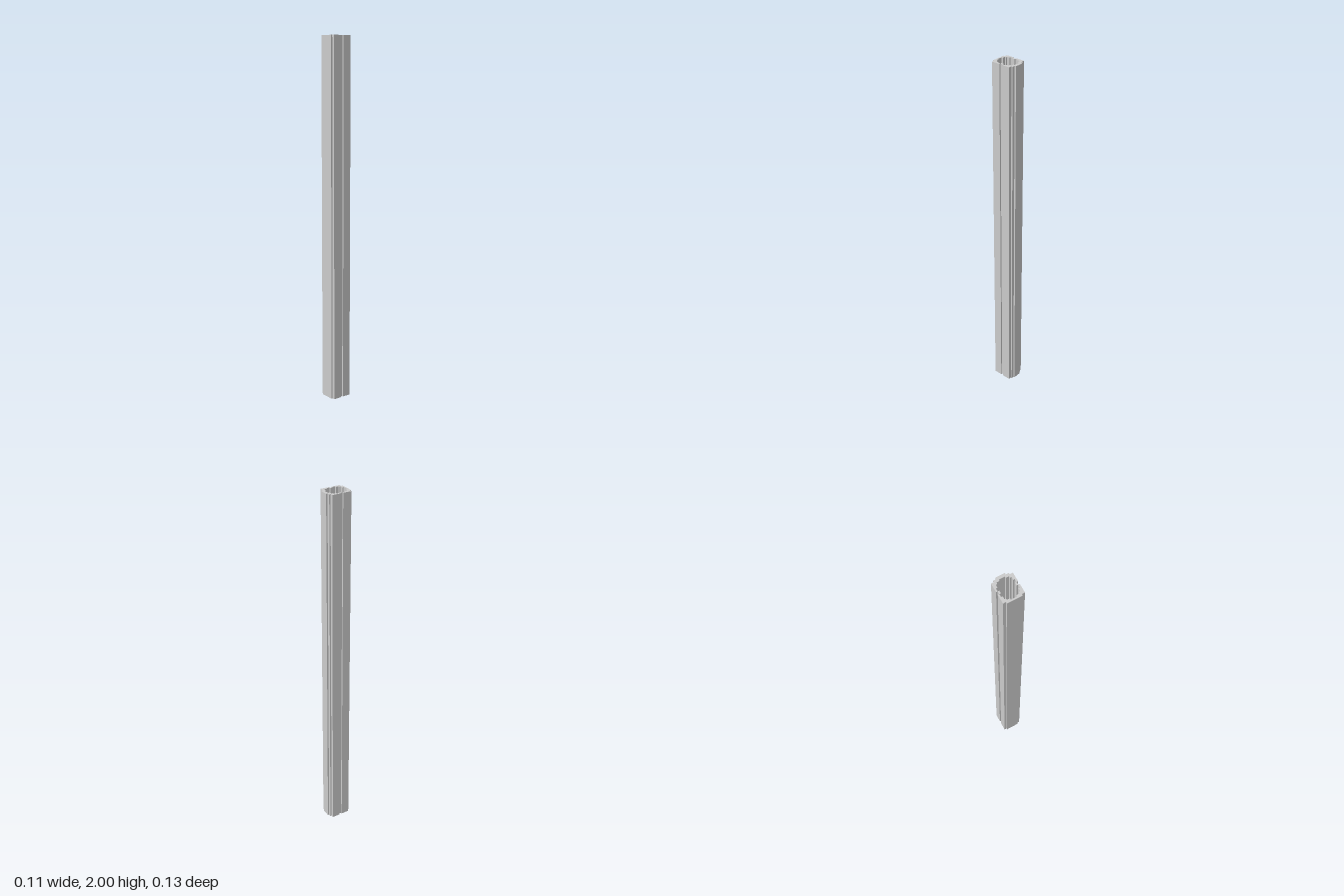
import * as THREE from 'three';

const U = 0.0078; // one step of the stair-stepped profile
const HEIGHT = 2;

export function createModel() {
  const group = new THREE.Group();
  group.name = 'hollowProfile';
  const material = new THREE.MeshStandardMaterial({ color: 0xcccccc, flatShading: true });

  // Extrudes an outline given as [x, z] steps up to the full height
  function addBar(name, outline) {
    const shape = new THREE.Shape(outline.map(([x, z]) => new THREE.Vector2(x * U, -z * U)));
    const geometry = new THREE.ExtrudeGeometry(shape, { depth: HEIGHT, bevelEnabled: false });
    geometry.rotateX(-Math.PI / 2);
    const mesh = new THREE.Mesh(geometry, material);
    mesh.name = name;
    group.add(mesh);
  }

  // Completes the left half of an outline with its mirror image
  const mirrored = (half) => [...half, ...half.map(([x, z]) => [-x, z]).reverse()];

  // Half channels: outer steps down to the side slot, then back along the inner steps
  addBar('backChannel', mirrored([
    [3, -8.5], [3, -7.5], [5, -7.5], [5, -6.5], [7, -6.5], [7, -0.5],
    [6, -0.5], [6, -2.5], [5, -2.5], [5, -4.5], [4, -4.5], [4, -5.5], [2, -5.5], [2, -6.5],
  ]));
  addBar('frontChannel', mirrored([
    [5, 8.5], [5, 7.5], [7, 7.5], [7, 1.5],
    [6, 1.5], [6, 3.5], [5, 3.5], [5, 5.5], [4, 5.5], [4, 6.5], [2, 6.5], [2, 7.5],
  ]));

  // Recessed strips at the bottom of the side slots
  for (const [name, x] of [['leftSlotStrip', 5], ['rightSlotStrip', -6]]) {
    addBar(name, [[x, -0.5], [x + 1, -0.5], [x + 1, 1.5], [x, 1.5]]);
  }

  return group;
}
